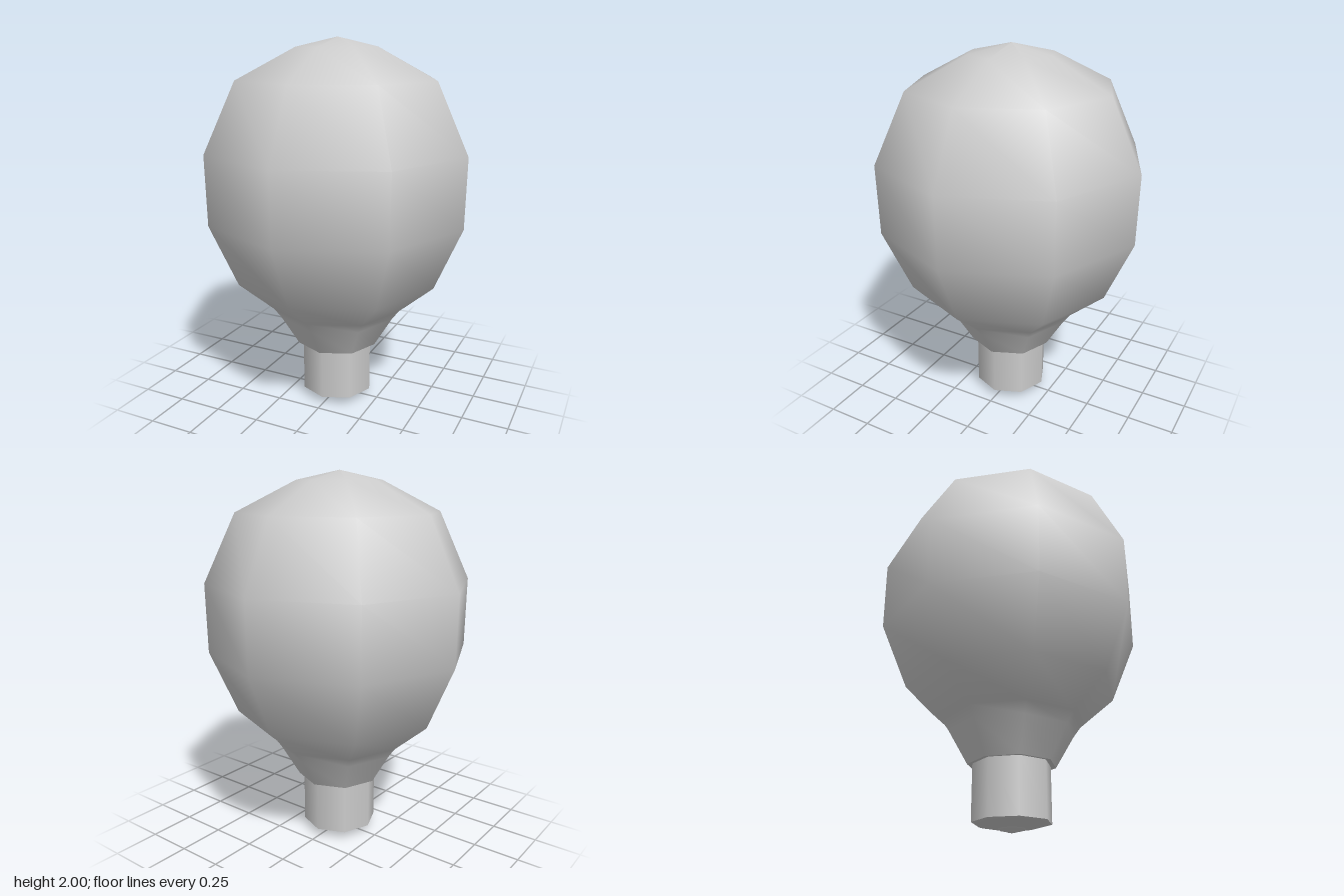
import * as THREE from 'three';

const SIDES = 8;

// Smooth eight-sided surface of revolution; profile runs bottom to top as [radius, y]
function turned(name, profile) {
  const points = profile.map(([r, y]) => new THREE.Vector2(r, y));
  const mesh = new THREE.Mesh(
    new THREE.LatheGeometry(points, SIDES),
    new THREE.MeshStandardMaterial({ color: 0xcccccc, side: THREE.DoubleSide })
  );
  mesh.name = name;
  return mesh;
}

export function createModel() {
  const model = new THREE.Group();
  model.name = 'lightBulb';

  // Glass envelope with its flared neck
  model.add(turned('glass', [
    [0.23, 0.33], [0.33, 0.5], [0.37, 0.555], [0.56, 0.72], [0.705, 1.06],
    [0.71, 1.43], [0.54, 1.79], [0.225, 1.95], [0, 2],
  ]));

  // Underside of the neck, closing the gap to the base
  model.add(turned('neckRim', [[0.19, 0.335], [0.23, 0.33]]));

  // Straight base sleeve
  model.add(turned('base', [[0.203, 0.045], [0.203, 0.34]]));

  // Shallow end cap
  model.add(turned('baseCap', [[0.07, 0.018], [0.1, 0.022], [0.18, 0.038], [0.203, 0.045]]));

  // Stepped contact at the very bottom
  model.add(turned('contact', [
    [0, 0.004], [0.015, 0], [0.03, 0.004], [0.035, 0.01], [0.065, 0.012], [0.075, 0.022],
  ]));

  return model;
}
